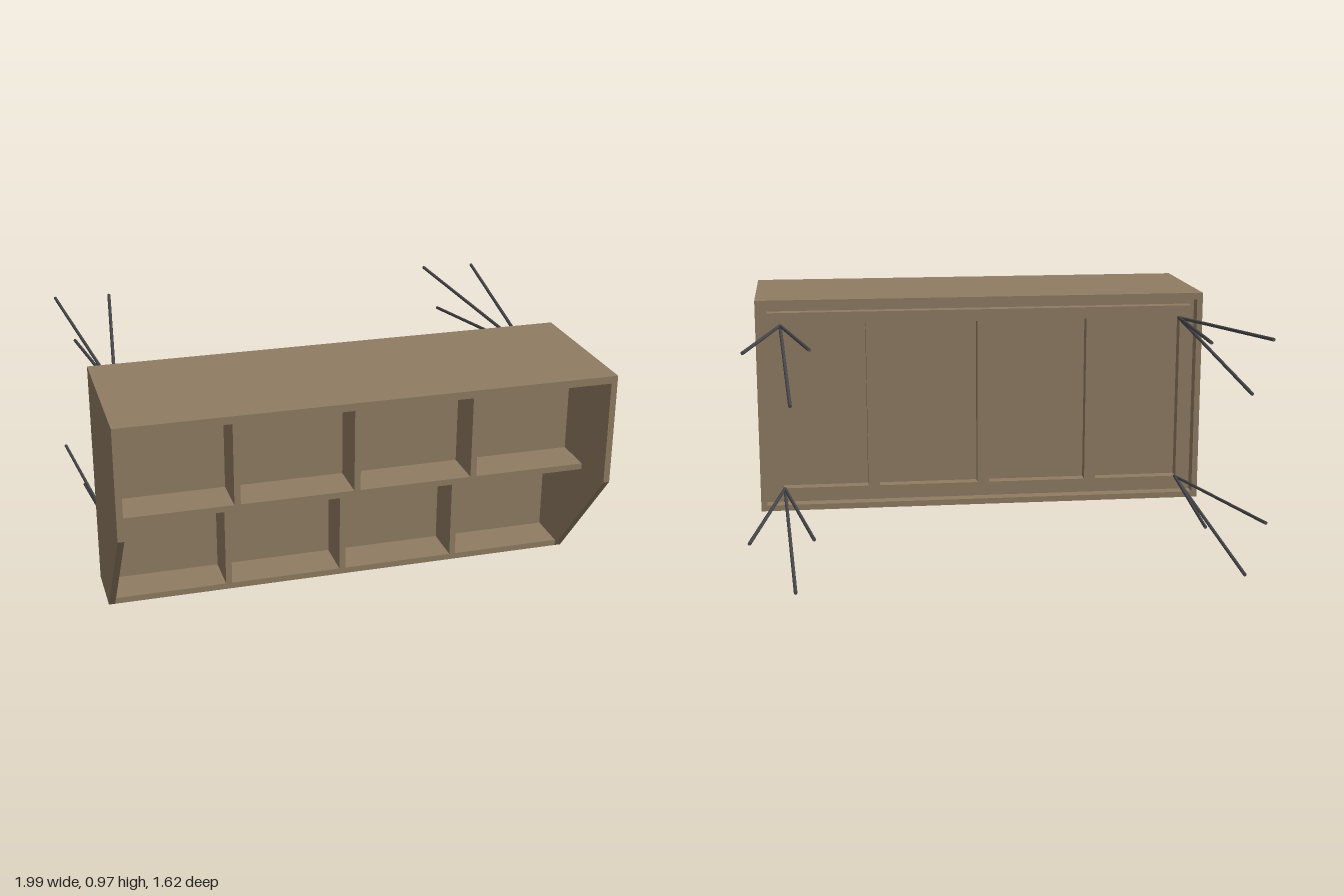
import * as THREE from 'three';

const wood = new THREE.MeshStandardMaterial({ color: 0x8f7c63 });
const metal = new THREE.MeshStandardMaterial({ color: 0x48484c });

// Box given by its min and max on each axis
function board(parent, name, [x0, x1], [y0, y1], [z0, z1]) {
  const mesh = new THREE.Mesh(new THREE.BoxGeometry(x1 - x0, y1 - y0, z1 - z0), wood);
  mesh.position.set((x0 + x1) / 2, (y0 + y1) / 2, (z0 + z1) / 2);
  mesh.name = name;
  parent.add(mesh);
}

// Thin round rod between two points
function rod(parent, name, from, to, radius) {
  const dir = to.clone().sub(from);
  const mesh = new THREE.Mesh(new THREE.CylinderGeometry(radius, radius, dir.length(), 8), metal);
  mesh.position.copy(from).add(to).multiplyScalar(0.5);
  mesh.quaternion.setFromUnitVectors(new THREE.Vector3(0, 1, 0), dir.normalize());
  mesh.name = name;
  parent.add(mesh);
}

export function createModel() {
  const model = new THREE.Group();
  model.name = 'wallShelf';
  const W = 0.975, T = 0.025, IN = W - T;
  const back = 0.17, front = 0.81;

  // Side panels with the slanted lower front
  const outline = new THREE.Shape([
    [back, 0.04], [0.41, 0.04], [front, 0.52], [front, 0.97], [back, 0.97],
  ].map(([z, y]) => new THREE.Vector2(-z, y)));
  for (const [name, x] of [['rightSide', -W], ['leftSide', IN]]) {
    const side = new THREE.Mesh(
      new THREE.ExtrudeGeometry(outline, { depth: T, bevelEnabled: false }), wood);
    side.rotation.y = Math.PI / 2;
    side.position.x = x;
    side.name = name;
    model.add(side);
  }

  // Top, bottom, middle shelf and the stepped back panels
  board(model, 'top', [-IN, IN], [0.94, 0.97], [back, front]);
  board(model, 'bottom', [-IN, IN], [0.04, 0.065], [back, 0.41]);
  board(model, 'shelf', [-IN, IN], [0.49, 0.515], [0.24, 0.61]);
  board(model, 'backPanel', [-IN, IN], [0.065, 0.94], [0.225, 0.24]);
  board(model, 'upperBackPanel', [-IN, IN], [0.515, 0.94], [0.425, 0.44]);

  // Dividers, with the upper row standing further forward
  const dividers = [-0.483, -0.003, 0.48];
  for (const x of dividers) {
    const span = [x - T / 2, x + T / 2];
    board(model, 'upperDivider', span, [0.515, 0.94], [0.44, 0.61]);
    board(model, 'lowerDivider', span, [0.065, 0.49], [0.24, 0.41]);
  }

  // Rear frame, separated from the case by a narrow groove
  const frame = new THREE.Group();
  frame.name = 'rearFrame';
  model.add(frame);
  const depth = [0.175, 0.225];
  board(frame, 'topRail', [-0.925, 0.925], [0.865, 0.915], depth);
  board(frame, 'bottomRail', [-0.925, 0.925], [0.09, 0.14], depth);
  for (const x of [-0.9, ...dividers, 0.9]) {
    board(frame, 'stile', [x - 0.025, x + 0.025], [0.14, 0.865], depth);
  }

  // Three splayed rods at each rear corner
  const splay = [[-0.12, 0.075], [0.12, 0.068], [-0.045, -0.133]];
  for (const x of [-0.87, 0.87]) {
    for (const y of [0.14, 0.862]) {
      const bundle = new THREE.Group();
      bundle.name = 'rodBundle';
      model.add(bundle);
      const apex = new THREE.Vector3(x, y, 0.17);
      for (const [dx, dy] of splay) {
        rod(bundle, 'rod', apex, new THREE.Vector3(x + dx, y + dy, -0.81), 0.007);
      }
    }
  }
  return model;
}
